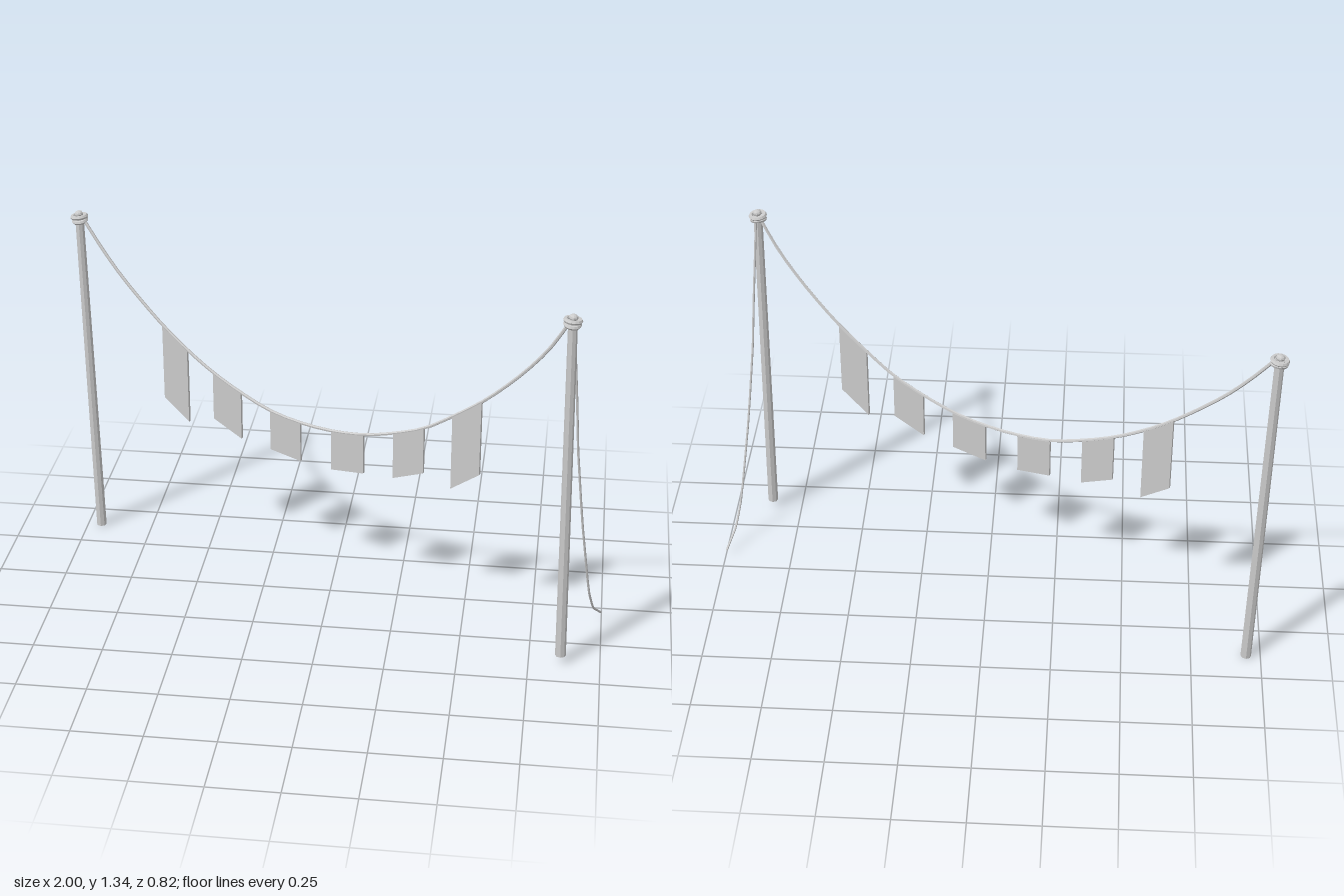
import * as THREE from 'three';

const material = new THREE.MeshStandardMaterial({ color: 0xcccccc, flatShading: true, side: THREE.DoubleSide });
const V = (x, y, z) => new THREE.Vector3(x, y, z);

function add(parent, name, geometry) {
  const mesh = new THREE.Mesh(geometry, material);
  mesh.name = name;
  parent.add(mesh);
  return mesh;
}

// Slightly leaning pole with a rope lashing and knot at its top
function makePole(name, bottom, top, tilt) {
  const group = new THREE.Group();
  group.name = name;
  const axis = top.clone().sub(bottom);
  const shaft = add(group, 'poleShaft', new THREE.CylinderGeometry(0.016, 0.019, axis.length(), 8));
  shaft.position.copy(bottom).lerp(top, 0.5);
  shaft.quaternion.setFromUnitVectors(V(0, 1, 0), axis.normalize());

  const lashing = new THREE.Group();
  lashing.name = 'lashing';
  lashing.position.copy(top);
  lashing.rotation.set(0.06, 0, tilt);
  for (const [y, radius, lean] of [[-0.012, 0.023, 0.12], [0.002, 0.025, -0.1]]) {
    const coil = add(lashing, 'ropeCoil', new THREE.TorusGeometry(radius, 0.008, 6, 14));
    coil.rotation.x = Math.PI / 2 + lean;
    coil.position.y = y;
  }
  const knot = add(lashing, 'knot', new THREE.SphereGeometry(0.016, 8, 6));
  knot.scale.set(1, 0.75, 1);
  knot.position.y = 0.012;
  group.add(lashing);
  return group;
}

export function createModel() {
  const model = new THREE.Group();
  model.name = 'flagLine';

  model.add(makePole('rightPole', V(-0.948, 0, -0.384), V(-0.968, 1.285, -0.38), 0.12));
  model.add(makePole('leftPole', V(0.861, 0.03, 0.377), V(0.84, 1.312, 0.379), -0.1));

  // Sagging rope, lying on a straight diagonal between the poles
  const slope = 0.417, midX = -0.06;
  const onLine = (x, y) => V(x, y, slope * (x - midX));
  const sag = [
    [-0.962, 1.295], [-0.88, 1.18], [-0.8, 1.083], [-0.645, 0.932], [-0.548, 0.856], [-0.445, 0.79],
    [-0.335, 0.737], [-0.222, 0.696], [-0.11, 0.68], [0.01, 0.68], [0.13, 0.698], [0.24, 0.735],
    [0.35, 0.785], [0.45, 0.858], [0.55, 0.94], [0.63, 1.02], [0.7, 1.1], [0.77, 1.195], [0.834, 1.31],
  ];
  const rope = new THREE.CatmullRomCurve3(sag.map(([x, y]) => onLine(x, y)));
  add(model, 'mainRope', new THREE.TubeGeometry(rope, 40, 0.006, 6));

  // Cloth flags: slanted panels whose tops follow the rope
  const flags = [
    [-0.645, 0.932, -0.548, 0.856, 0.29], [-0.447, 0.79, -0.338, 0.737, 0.183],
    [-0.224, 0.696, -0.108, 0.68, 0.153], [0.01, 0.68, 0.13, 0.698, 0.153],
    [0.24, 0.735, 0.35, 0.785, 0.176], [0.45, 0.858, 0.55, 0.94, 0.28],
  ];
  const thickness = 0.01;
  const stretch = Math.hypot(1, slope);
  for (const [x0, y0, x1, y1, drop] of flags) {
    const a = (x0 - midX) * stretch, b = (x1 - midX) * stretch;
    const shape = new THREE.Shape([[a, y0], [a, y0 - drop], [b, y1 - drop], [b, y1]].map(([x, y]) => new THREE.Vector2(x, y)));
    const geometry = new THREE.ExtrudeGeometry(shape, { depth: thickness, bevelEnabled: false });
    geometry.translate(0, 0, -thickness / 2);
    const flag = add(model, 'flag', geometry);
    flag.position.x = midX;
    flag.rotation.y = -Math.atan(slope);
  }

  // Loose rope end falling from the left pole to the ground
  const tail = new THREE.CurvePath();
  const points = [
    [0.845, 1.31, 0.365], [0.856, 1.16, 0.35], [0.868, 1, 0.331], [0.881, 0.8, 0.306], [0.9, 0.6, 0.275],
    [0.912, 0.48, 0.253], [0.925, 0.37, 0.23], [0.94, 0.24, 0.197], [0.95, 0.165, 0.177],
    [0.967, 0.082, 0.135], [0.996, 0.024, 0.065],
  ].map((p) => V(...p));
  for (let i = 1; i < points.length; i++) tail.add(new THREE.LineCurve3(points[i - 1], points[i]));
  add(model, 'looseRope', new THREE.TubeGeometry(tail, 48, 0.004, 6));

  return model;
}
